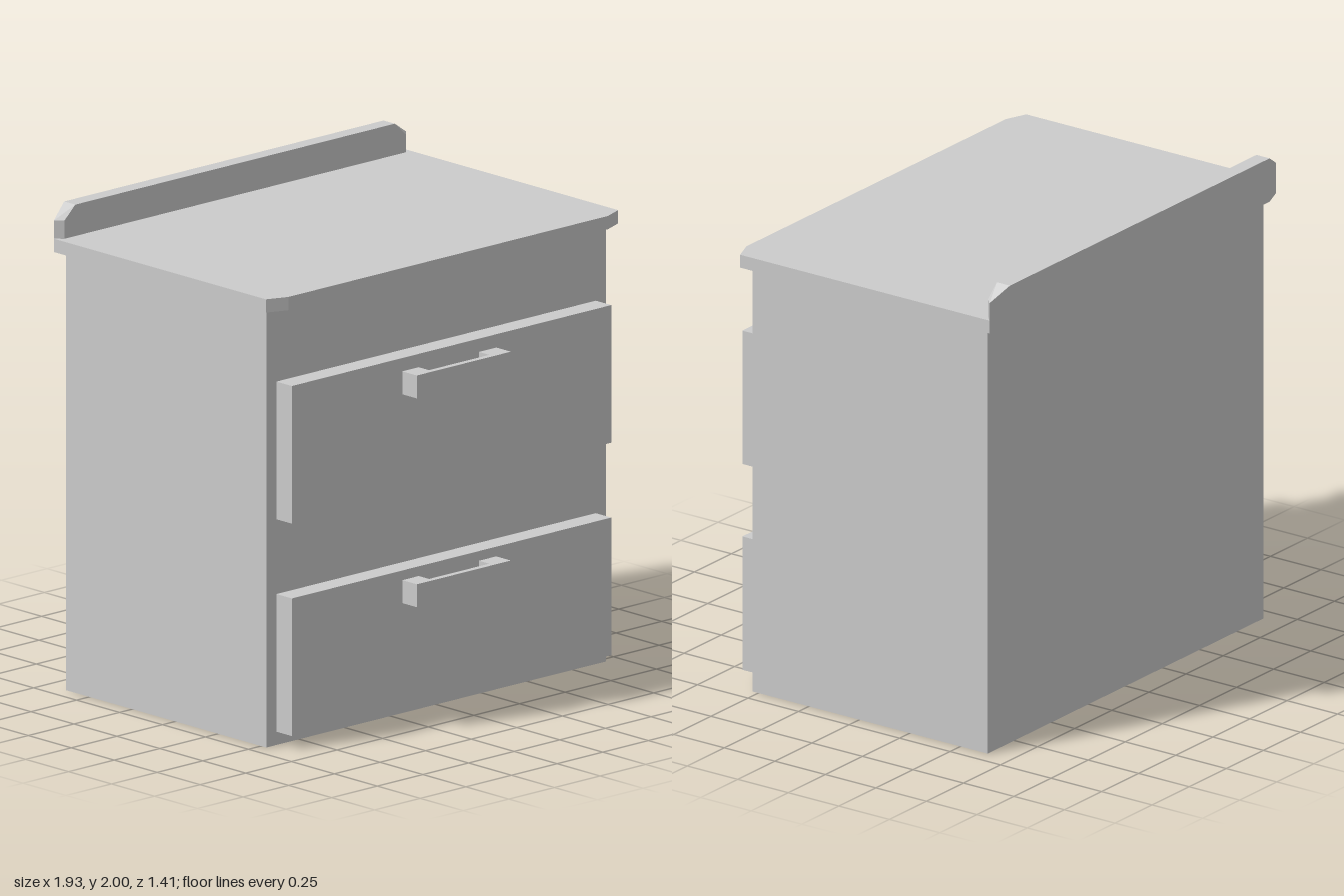
import * as THREE from 'three';
import { ConvexGeometry } from 'three/addons/geometries/ConvexGeometry.js';

const material = new THREE.MeshStandardMaterial({ color: 0xcccccc, flatShading: true });

function add(parent, name, geometry) {
  const mesh = new THREE.Mesh(geometry, material);
  mesh.name = name;
  parent.add(mesh);
}

// Box given by its limits on each axis
function box(x0, x1, y0, y1, z0, z1) {
  return new THREE.BoxGeometry(x1 - x0, y1 - y0, z1 - z0)
    .translate((x0 + x1) / 2, (y0 + y1) / 2, (z0 + z1) / 2);
}

// Convex solid from its right-hand corners, mirrored across x
function mirroredHull(corners) {
  return new ConvexGeometry(corners.flatMap(([x, y, z]) =>
    [new THREE.Vector3(x, y, z), new THREE.Vector3(-x, y, z)]));
}

// Handle: a U-shaped outline seen from above, extruded over its height
function handleGeometry(height) {
  const outline = [[-0.27, 0.62], [-0.27, 0.705], [0.245, 0.705], [0.245, 0.62],
    [0.15, 0.62], [0.15, 0.68], [-0.18, 0.68], [-0.18, 0.62]];
  const shape = new THREE.Shape(outline.map(([x, z]) => new THREE.Vector2(x, -z)));
  return new THREE.ExtrudeGeometry(shape, { depth: height, bevelEnabled: false })
    .rotateX(-Math.PI / 2);
}

export function createModel() {
  const cabinet = new THREE.Group();
  cabinet.name = 'drawerCabinet';

  add(cabinet, 'body', box(-0.93, 0.93, 0, 1.815, -0.635, 0.53));

  // Worktop with clipped corners
  const plan = [[0.875, 0.6], [0.965, 0.565], [0.965, -0.67], [0.875, -0.705]];
  add(cabinet, 'worktop', mirroredHull(
    plan.flatMap(([x, z]) => [[x, 1.815, z], [x, 1.87, z]])));

  // Raised lip along the back, with sloping ends
  add(cabinet, 'backLip', mirroredHull([
    [0.935, 1.87, -0.64], [0.965, 1.87, -0.67], [0.875, 1.87, -0.705],
    [0.935, 1.945, -0.64], [0.965, 1.945, -0.67],
    [0.875, 2, -0.64], [0.875, 2, -0.705],
  ]));

  // Two drawers, each with a front panel and a handle
  const drawers = [
    { name: 'upperDrawer', bottom: 0.935, top: 1.505, handleY: 1.355 },
    { name: 'lowerDrawer', bottom: 0.055, top: 0.625, handleY: 0.49 },
  ];
  for (const { name, bottom, top, handleY } of drawers) {
    const drawer = new THREE.Group();
    drawer.name = name;
    add(drawer, 'drawerFront', box(-0.875, 0.875, bottom, top, 0.53, 0.62));
    add(drawer, 'handle', handleGeometry(0.095).translate(0, handleY, 0));
    cabinet.add(drawer);
  }
  return cabinet;
}
